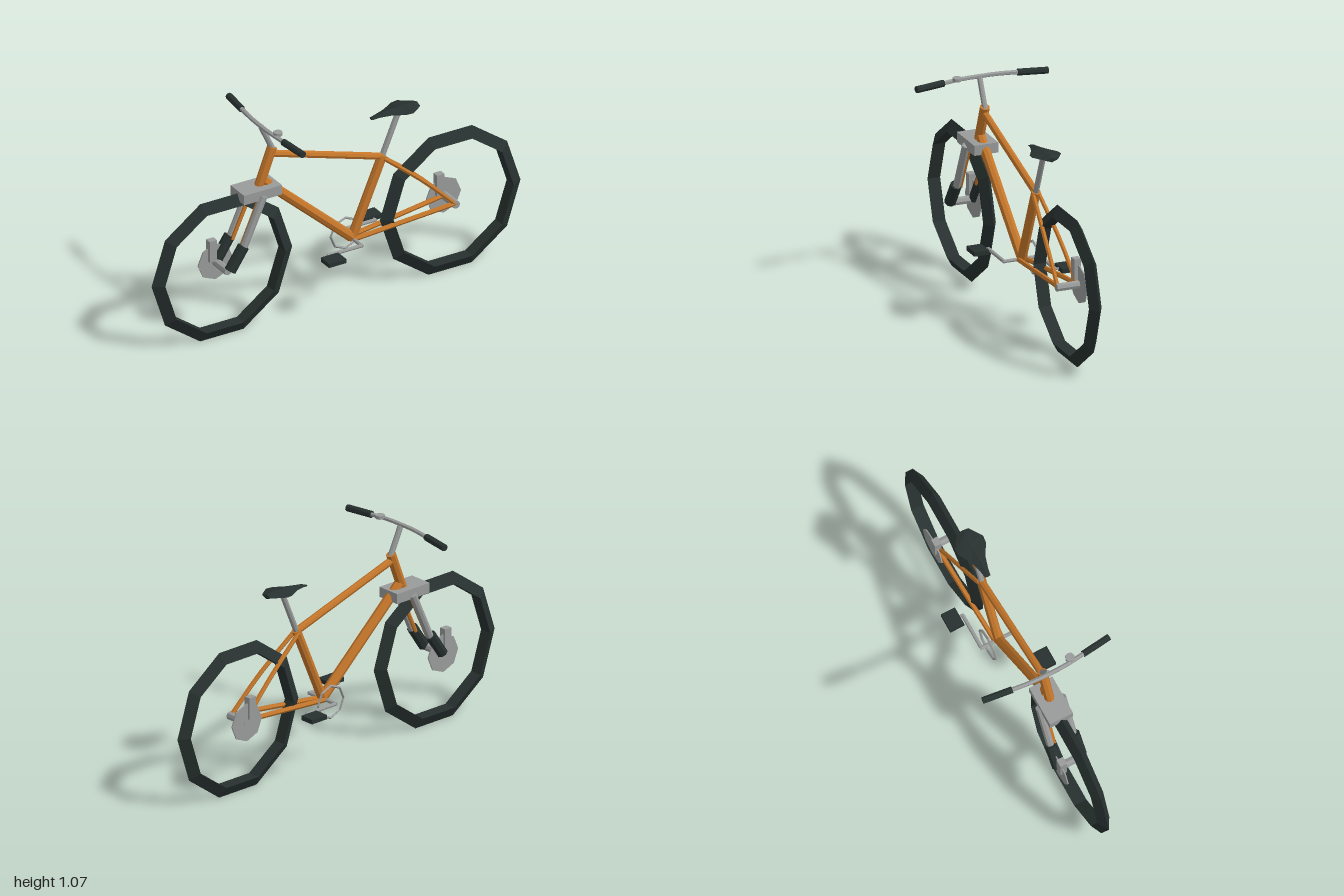
import * as THREE from 'three';

const mat = (name, color) => {
  const m = new THREE.MeshStandardMaterial({ color, flatShading: true });
  m.name = name;
  return m;
};

export function createModel() {
  const bike = new THREE.Group();
  bike.name = 'bicycle';
  const orange = mat('orange paint', 0xc4762a);
  const dark = mat('dark rubber', 0x27312f);
  const grey = mat('grey metal', 0x999b9b);

  const add = (name, geo, material, x = 0, y = 0, z = 0) => {
    const m = new THREE.Mesh(geo, material);
    m.name = name;
    m.position.set(x, y, z);
    bike.add(m);
    return m;
  };
  // Straight round bar between two points
  const bar = (name, a, b, r, material, sides = 8) => {
    const p = new THREE.Vector3(...a), q = new THREE.Vector3(...b);
    const d = q.clone().sub(p);
    const m = add(name, new THREE.CylinderGeometry(r, r, d.length(), sides), material);
    m.position.copy(p).add(q).multiplyScalar(0.5);
    m.quaternion.setFromUnitVectors(new THREE.Vector3(0, 1, 0), d.normalize());
    return m;
  };

  // Wheels: ten-sided tyre with a ridge, hub, brake disc and caliper
  const wheelY = 0.363;
  for (const [end, x, cx] of [['front', -0.62, -0.642], ['rear', 0.62, 0.593]]) {
    add(end + 'Tyre', new THREE.TorusGeometry(0.345, 0.037, 3, 10), dark, x, wheelY, 0);
    bar(end + 'Hub', [x, wheelY, -0.065], [x, wheelY, 0.057], 0.02, grey);
    const disc = add(end + 'BrakeDisc', new THREE.CylinderGeometry(0.094, 0.094, 0.006, 8), grey, x, wheelY, -0.06);
    disc.rotation.x = Math.PI / 2;
    add(end + 'Caliper', new THREE.BoxGeometry(0.04, 0.11, 0.034), grey, cx, 0.43, -0.056);
  }

  // Main frame
  bar('headTube', [-0.347, 0.92, 0], [-0.43, 0.7, 0], 0.024, orange);
  bar('topTube', [-0.355, 0.888, 0], [0.25, 0.7, 0], 0.018, orange);
  bar('downTube', [-0.4, 0.758, 0], [0.085, 0.32, 0], 0.025, orange);
  bar('seatTube', [0.252, 0.705, 0], [0.085, 0.315, 0], 0.023, orange);
  for (const s of [1, -1]) {
    bar('chainStay', [0.085, 0.315, s * 0.018], [0.62, 0.368, s * 0.048], 0.012, orange, 6);
    const curve = new THREE.CatmullRomCurve3([
      new THREE.Vector3(0.25, 0.695, s * 0.014),
      new THREE.Vector3(0.455, 0.525, s * 0.036),
      new THREE.Vector3(0.615, 0.368, s * 0.048)]);
    add('seatStay', new THREE.TubeGeometry(curve, 6, 0.011, 6), orange);
  }

  // Suspension fork
  add('forkCrown', new THREE.BoxGeometry(0.205, 0.05, 0.122), grey, -0.433, 0.716, 0);
  for (const s of [1, -1]) {
    bar('forkUpper', [-0.43, 0.71, s * 0.06], [-0.54, 0.465, s * 0.06], 0.019, grey);
    bar('forkInnerTube', [-0.43, 0.71, s * 0.037], [-0.54, 0.465, s * 0.04], 0.01, orange, 6);
    bar('forkLower', [-0.54, 0.477, s * 0.062], [-0.613, 0.367, s * 0.062], 0.028, dark);
  }

  // Stem, swept handlebar, grips and bell
  bar('stem', [-0.345, 0.91, 0], [-0.408, 1.045, 0], 0.014, grey);
  const barPts = [[-0.397, 1.047, -0.2], [-0.41, 1.05, -0.09], [-0.412, 1.05, 0],
    [-0.41, 1.05, 0.09], [-0.397, 1.047, 0.2]].map((p) => new THREE.Vector3(...p));
  add('handlebar', new THREE.TubeGeometry(new THREE.CatmullRomCurve3(barPts), 8, 0.011, 6), grey);
  for (const s of [1, -1]) {
    bar('grip', [-0.399, 1.047, s * 0.187], [-0.38, 1.042, s * 0.333], 0.017, dark);
  }
  add('bell', new THREE.CylinderGeometry(0.023, 0.023, 0.016, 8), grey, -0.39, 1.06, 0.122);

  // Seat post and saddle, lofted from lens-shaped sections
  bar('seatPost', [0.25, 0.7, 0], [0.343, 0.92, 0], 0.014, grey);
  // x, half width, top, edge, bottom
  const sections = [
    [0.19, 0.014, 0.918, 0.914, 0.91], [0.225, 0.02, 0.929, 0.919, 0.911],
    [0.28, 0.036, 0.936, 0.923, 0.912], [0.34, 0.07, 0.938, 0.925, 0.913],
    [0.375, 0.074, 0.941, 0.926, 0.913], [0.415, 0.048, 0.941, 0.926, 0.913],
    [0.44, 0.03, 0.936, 0.926, 0.914]];
  const pos = [], idx = [];
  for (const [x, w, t, e, b] of sections) pos.push(x, t, 0, x, e, w, x, b, 0, x, e, -w);
  for (let i = 0; i < sections.length - 1; i++) {
    for (let j = 0; j < 4; j++) {
      const a = i * 4 + j, b = i * 4 + (j + 1) % 4;
      idx.push(a, b, b + 4, a, b + 4, a + 4);
    }
  }
  const n = (sections.length - 1) * 4;
  idx.push(0, 2, 1, 0, 3, 2, n, n + 1, n + 2, n, n + 2, n + 3);
  const saddle = new THREE.BufferGeometry();
  saddle.setAttribute('position', new THREE.Float32BufferAttribute(pos, 3));
  saddle.setIndex(idx);
  saddle.computeVertexNormals();
  add('saddle', saddle, dark);

  // Chainring, crank axle, crank arms and pedals
  add('chainring', new THREE.TorusGeometry(0.08, 0.0065, 4, 8), grey, 0.085, 0.315, -0.056);
  bar('crankAxle', [0.085, 0.315, -0.095], [0.085, 0.315, 0.095], 0.009, grey);
  for (const s of [1, -1]) {
    const end = 0.085 - s * 0.185;
    bar('crankArm', [0.09, 0.315, s * 0.09], [end, 0.315, s * 0.09], 0.009, grey);
    bar('pedalAxle', [end, 0.315, s * 0.085], [end, 0.315, s * 0.13], 0.006, grey, 6);
    add('pedal', new THREE.BoxGeometry(0.094, 0.022, 0.074), dark, end, 0.315, s * 0.143);
  }
  return bike;
}
